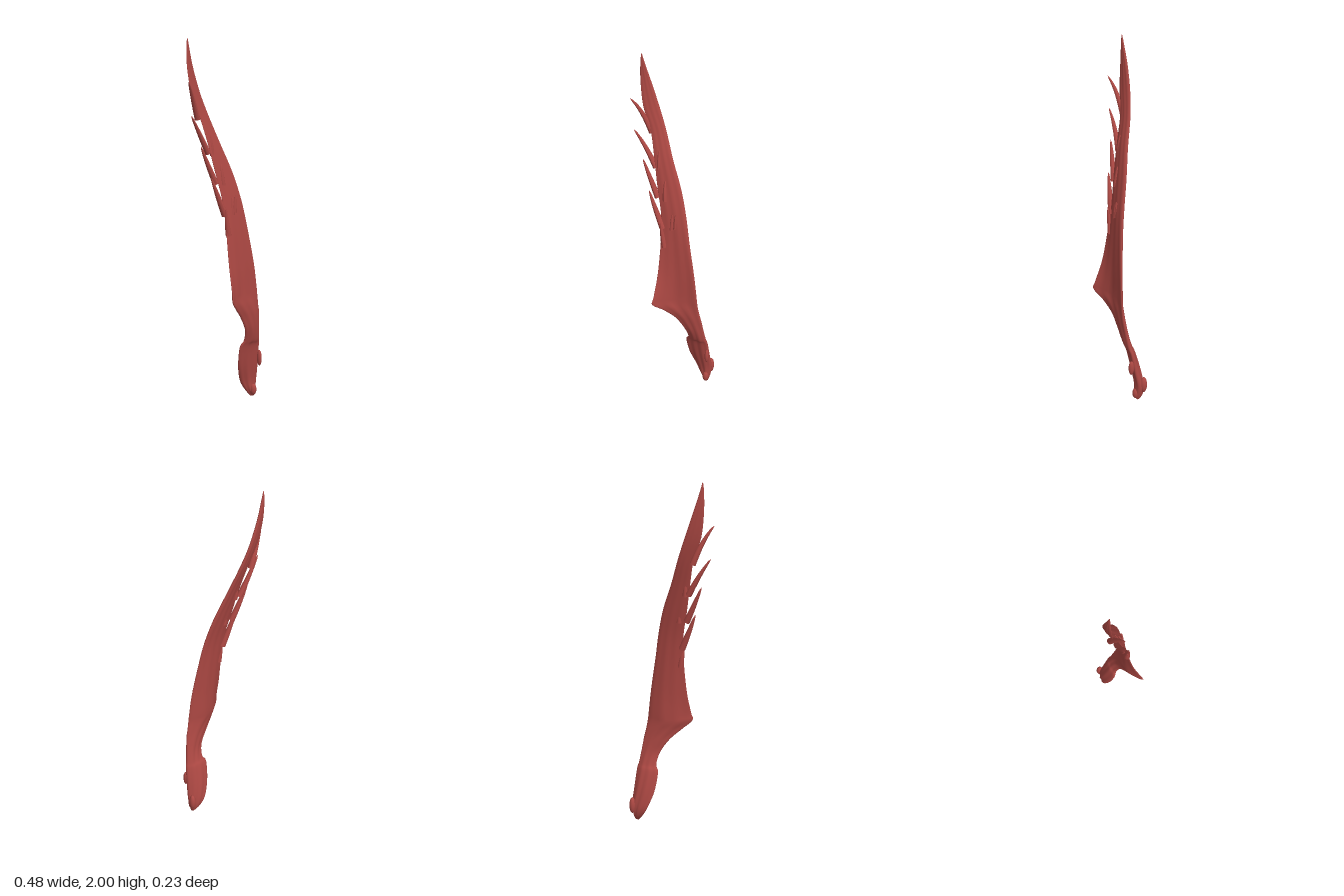
import * as THREE from 'three';

const red = new THREE.MeshStandardMaterial({ color: 0xac4843 });
red.name = 'dark red';

// Blade sections: y, inner x, inner z, outer x, outer z, bow, half thickness
const rows = [
  [0.00, 0.195, -0.062, 0.215, -0.058, 0, 0.010],
  [0.04, 0.165, -0.075, 0.226, -0.060, 0, 0.028],
  [0.10, 0.132, -0.078, 0.235, -0.062, 0, 0.031],
  [0.20, 0.100, -0.050, 0.230, -0.042, -0.008, 0.030],
  [0.31, 0.090, -0.022, 0.222, -0.022, -0.006, 0.024],
  [0.35, 0.108, -0.008, 0.214, -0.012, 0, 0.024],
  [0.42, 0.096, 0.018, 0.204, 0.000, 0, 0.022],
  [0.50, 0.048, 0.040, 0.194, 0.014, -0.006, 0.021],
  [0.56, -0.010, 0.075, 0.182, 0.020, -0.018, 0.020],
  [0.61, -0.060, 0.116, 0.174, 0.024, -0.036, 0.019],
  [0.66, -0.056, 0.105, 0.168, 0.024, -0.034, 0.019],
  [0.80, -0.048, 0.064, 0.150, 0.020, -0.018, 0.018],
  [1.00, -0.044, 0.030, 0.114, 0.006, -0.006, 0.017],
  [1.15, -0.052, 0.008, 0.086, -0.012, 0, 0.016],
  [1.30, -0.082, -0.014, 0.045, -0.038, 0, 0.015],
  [1.45, -0.110, -0.040, -0.014, -0.066, 0, 0.014],
  [1.60, -0.144, -0.070, -0.068, -0.098, 0, 0.012],
  [1.72, -0.188, -0.080, -0.112, -0.112, 0, 0.011],
  [1.85, -0.206, -0.090, -0.156, -0.112, 0, 0.010],
  [1.95, -0.207, -0.094, -0.186, -0.102, 0, 0.007],
  [2.00, -0.202, -0.095, -0.198, -0.096, 0, 0.002],
];

// Smooth in-between section at row position t
function section(t) {
  const i = Math.min(Math.floor(t), rows.length - 2), f = t - i;
  const at = k => rows[Math.max(0, Math.min(rows.length - 1, k))];
  return rows[i].map((p1, c) => {
    const p0 = at(i - 1)[c], p2 = at(i + 1)[c], p3 = at(i + 2)[c];
    return p1 + 0.5 * f * (p2 - p0 + f * (2 * p0 - 5 * p1 + 4 * p2 - p3 + f * (3 * (p1 - p2) + p3 - p0)));
  });
}

// Curved blade lofted through the sections, with shallow lengthwise fluting
function bladeGeometry() {
  const half = 18, ring = half * 2, steps = (rows.length - 1) * 5;
  const pos = [], index = [];
  for (let i = 0; i <= steps; i++) {
    const [y, ix, iz, ox, oz, bow, th] = section(i / 5);
    const dx = ox - ix, dz = oz - iz, len = Math.hypot(dx, dz) || 1;
    for (let j = 0; j < ring; j++) {
      const a = (j / ring) * Math.PI * 2;
      const s = 0.5 - 0.5 * Math.cos(a), side = Math.sin(a);
      const flute = 1 + 0.12 * Math.sin(s * 19 + y * 2.5);
      const off = bow * 4 * s * (1 - s) + th * side * (0.55 + 0.45 * s) * flute;
      pos.push(ix + dx * s - (dz / len) * off, y, iz + dz * s + (dx / len) * off);
    }
  }
  for (let i = 0; i < steps; i++) {
    for (let j = 0; j < ring; j++) {
      const a = i * ring + j, b = i * ring + (j + 1) % ring;
      index.push(a, b, b + ring, a, b + ring, a + ring);
    }
  }
  // End caps
  const top = steps * ring;
  for (let j = 1; j < ring - 1; j++) {
    index.push(0, j + 1, j, top, top + j, top + j + 1);
  }
  const g = new THREE.BufferGeometry();
  g.setAttribute('position', new THREE.Float32BufferAttribute(pos, 3));
  g.setIndex(index);
  g.computeVertexNormals();
  return g;
}

// Curved barb: a tube whose rings swell slightly, then close at the tip
function barbGeometry(base, mid, tip, radius) {
  const curve = new THREE.QuadraticBezierCurve3(
    new THREE.Vector3(...base), new THREE.Vector3(...mid), new THREE.Vector3(...tip));
  const n = 16, sides = 10;
  const g = new THREE.TubeGeometry(curve, n, radius, sides);
  const p = g.attributes.position, v = new THREE.Vector3();
  for (let i = 0; i <= n; i++) {
    const t = i / n, c = curve.getPointAt(t);
    const k = Math.sqrt(1 - t * t) * (1 - 0.3 * t);
    for (let j = 0; j <= sides; j++) {
      const q = i * (sides + 1) + j;
      v.fromBufferAttribute(p, q).sub(c).multiplyScalar(k).add(c);
      p.setXYZ(q, v.x, v.y, v.z);
    }
  }
  g.computeVertexNormals();
  return g;
}

export function createModel() {
  const model = new THREE.Group();
  model.name = 'barbedBlade';
  const add = (name, geometry) => {
    const mesh = new THREE.Mesh(geometry, red);
    mesh.name = name;
    model.add(mesh);
  };
  add('blade', bladeGeometry());

  // Barbs along the inner edge: base, bend, tip, radius
  [
    [[-0.145, 1.58, -0.085], [-0.19, 1.71, -0.07], [-0.238, 1.778, -0.03], 0.016],
    [[-0.105, 1.40, -0.045], [-0.165, 1.52, -0.05], [-0.222, 1.605, -0.032], 0.016],
    [[-0.080, 1.24, -0.012], [-0.130, 1.35, -0.02], [-0.168, 1.445, -0.024], 0.017],
    [[-0.040, 1.07, 0.015], [-0.090, 1.19, 0.01], [-0.122, 1.28, 0.004], 0.018],
    [[-0.025, 0.96, 0.028], [-0.038, 1.04, 0.026], [-0.045, 1.11, 0.034], 0.016],
  ].forEach((b, i) => add('edgeBarb' + (i + 1), barbGeometry(...b)));

  // Short barbs lying on the front face
  [
    [[-0.082, 1.39, -0.040], [-0.088, 1.46, -0.045], [-0.088, 1.50, -0.050], 0.014],
    [[-0.035, 1.23, -0.010], [-0.042, 1.30, -0.014], [-0.040, 1.345, -0.022], 0.015],
    [[0.010, 1.07, 0.012], [0.012, 1.13, 0.010], [0.012, 1.165, 0.008], 0.012],
    [[0.030, 1.08, 0.010], [0.032, 1.14, 0.010], [0.034, 1.175, 0.010], 0.011],
  ].forEach((b, i) => add('faceBarb' + (i + 1), barbGeometry(...b)));

  // Knobs around the foot
  [
    [0.222, 0.10, -0.088, 0.018, 0.05, 0.020],
    [0.222, 0.23, -0.014, 0.012, 0.045, 0.016],
    [0.205, 0.04, -0.048, 0.018, 0.035, 0.020],
  ].forEach(([x, y, z, sx, sy, sz], i) => {
    add('footKnob' + (i + 1), new THREE.SphereGeometry(1, 16, 12).scale(sx, sy, sz).translate(x, y, z));
  });
  return model;
}
